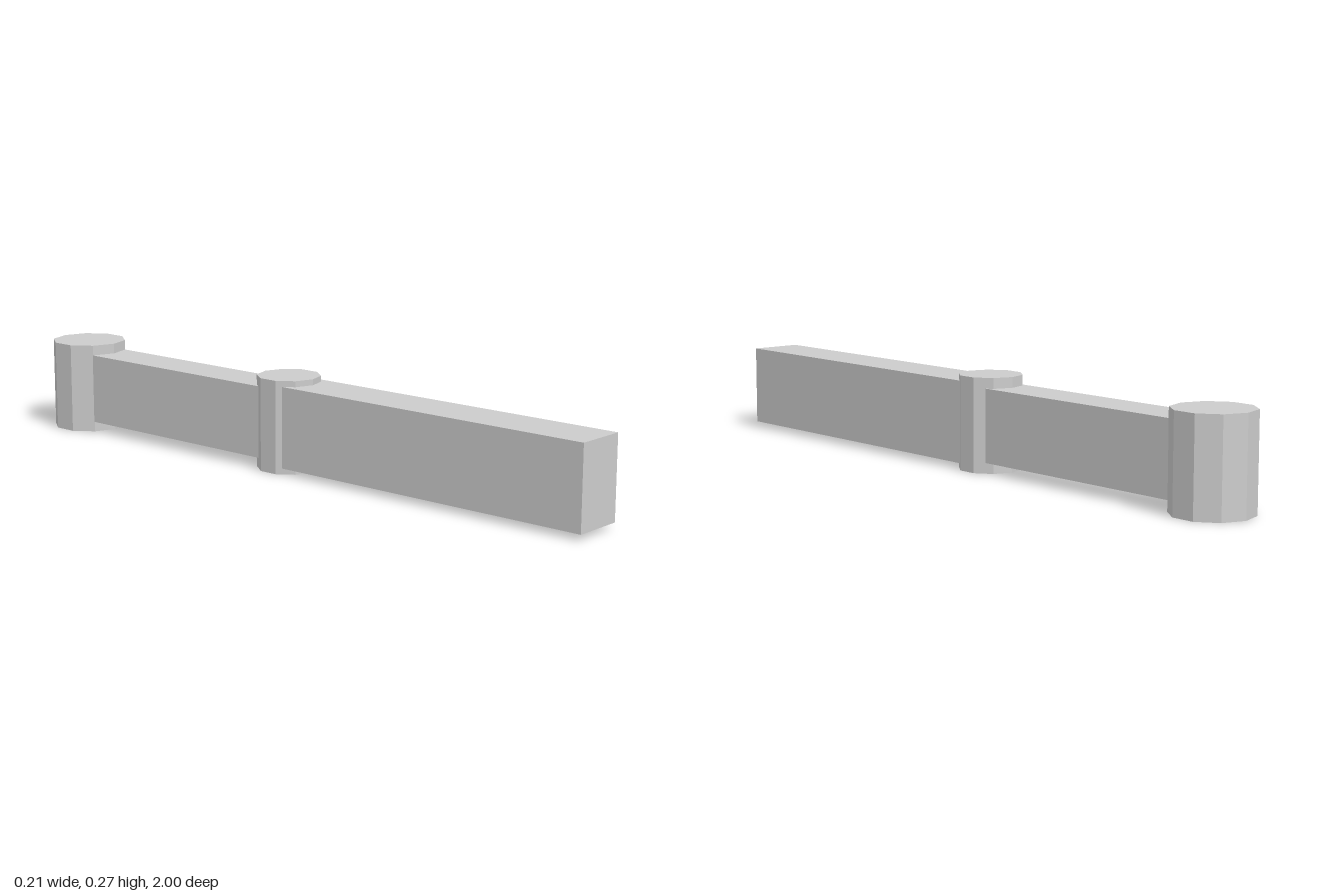
import * as THREE from 'three';

const HEIGHT = 0.268;

export function createModel() {
  const group = new THREE.Group();
  const grey = new THREE.MeshStandardMaterial({ color: 0xcccccc, flatShading: true });
  grey.name = 'light grey';

  const add = (name, geometry, z) => {
    const mesh = new THREE.Mesh(geometry, grey);
    mesh.name = name;
    mesh.position.set(0, HEIGHT / 2, z);
    group.add(mesh);
  };
  // Ten-sided upright post
  const post = (name, radius, z) =>
    add(name, new THREE.CylinderGeometry(radius, radius, HEIGHT, 10), z);
  // Straight bar between two z positions
  const bar = (name, width, height, z0, z1) =>
    add(name, new THREE.BoxGeometry(width, height, z1 - z0), (z0 + z1) / 2);

  const middleZ = -0.047, backZ = -0.8875;
  post('backPost', 0.1125, backZ);
  post('middlePost', 0.0915, middleZ);
  bar('backBar', 0.134, 0.208, backZ, middleZ);
  bar('frontBar', 0.152, 0.234, middleZ, 1);

  return group;
}
